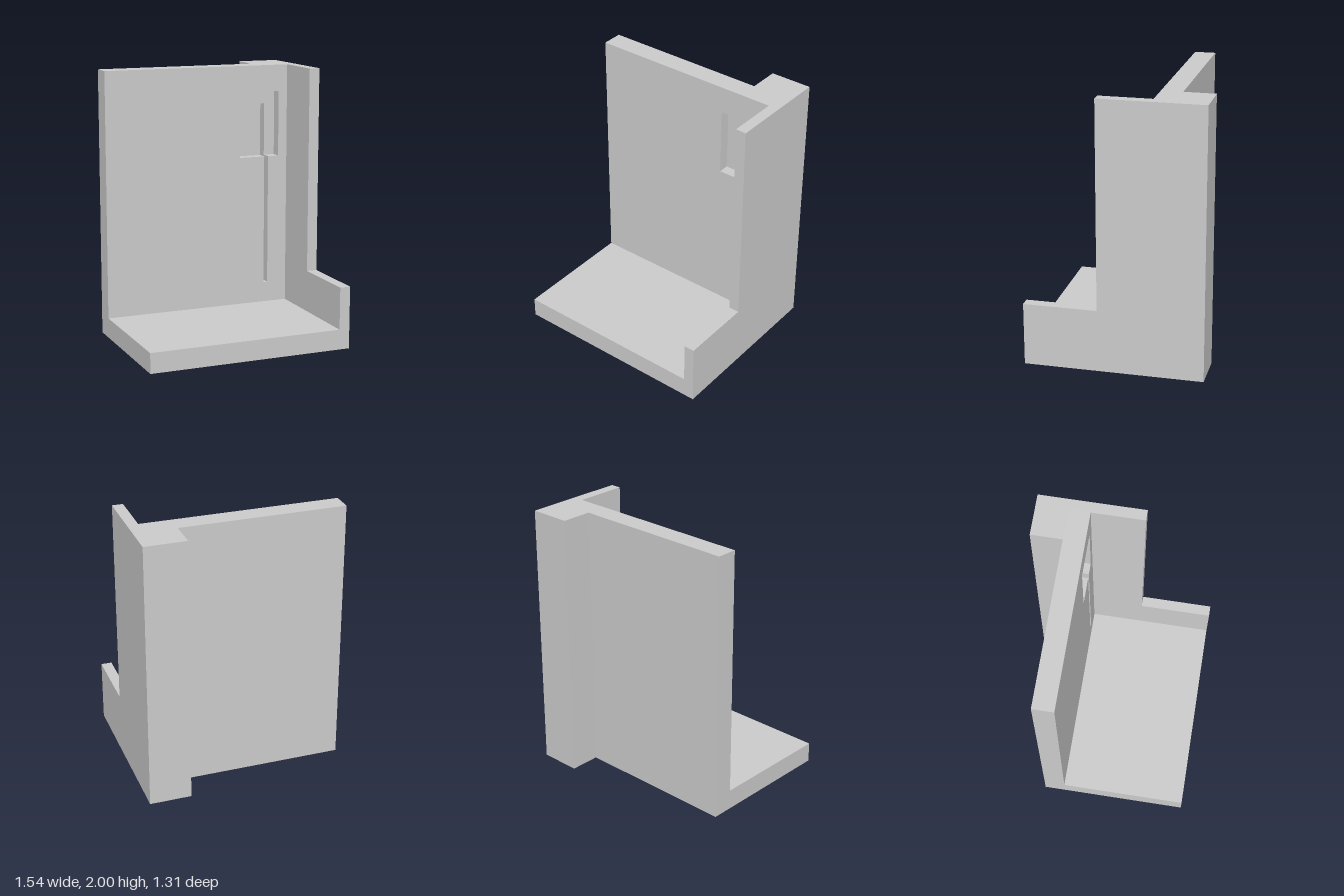
import * as THREE from 'three';

const material = new THREE.MeshStandardMaterial({ color: 0xcccccc, flatShading: true });

// Plan dimensions
const LEFT = 0.77, SIDE = 0.69, FRONT = 0.655, BACK = -0.655, TOP = 2;
const WALL_FRONT = -0.27, NICHE_BACK = -0.35, WALL_BACK = -0.425;

const points = (list) => list.map(([x, y]) => new THREE.Vector2(x, y));

function addMesh(group, name, geometry) {
  const mesh = new THREE.Mesh(geometry, material);
  mesh.name = name;
  group.add(mesh);
}

// Box given by its limits on each axis
function block(x0, x1, y0, y1, z0, z1) {
  return new THREE.BoxGeometry(x1 - x0, y1 - y0, z1 - z0)
    .translate((x0 + x1) / 2, (y0 + y1) / 2, (z0 + z1) / 2);
}

// Slab of the back wall between two depths, pierced by one opening
function wallLayer(opening, z0, z1) {
  const shape = new THREE.Shape(points([[-LEFT, 0], [SIDE, 0], [SIDE, TOP], [-LEFT, TOP]]));
  shape.holes.push(new THREE.Path(points(opening)));
  return new THREE.ExtrudeGeometry(shape, { depth: z1 - z0, bevelEnabled: false }).translate(0, 0, z0);
}

export function createModel() {
  const group = new THREE.Group();
  group.name = 'wallCorner';

  addMesh(group, 'floor', block(-LEFT, SIDE, 0, 0.15, WALL_FRONT, FRONT));

  // Back wall: shallow niche joined to a narrow, deeper vertical slot
  const s0 = 0.503, s1 = 0.535, slotBottom = 0.305, slotTop = 1.7;
  const niche = [
    [s0, slotBottom], [s0, 1.3], [0.3, 1.3], [0.3, 1.8],
    [0.62, 1.8], [0.62, 1.3], [s1, 1.3], [s1, slotBottom],
  ];
  const slot = [[s0, slotBottom], [s0, slotTop], [s1, slotTop], [s1, slotBottom]];
  addMesh(group, 'backWallFrontLayer', wallLayer(niche, NICHE_BACK, WALL_FRONT));
  addMesh(group, 'backWallRearLayer', wallLayer(slot, WALL_BACK, NICHE_BACK));

  // Column behind the wall, closing the slot
  addMesh(group, 'rearColumn', block(0.46, SIDE, 0, TOP, BACK, WALL_BACK));

  // Side wall: tall at the back, stepping down to a low curb in front
  const profile = new THREE.Shape(points([
    [BACK, 0], [FRONT, 0], [FRONT, 0.465], [0.115, 0.465], [0.115, TOP], [BACK, TOP],
  ]));
  const side = new THREE.ExtrudeGeometry(profile, { depth: LEFT - SIDE, bevelEnabled: false });
  side.rotateY(-Math.PI / 2).translate(LEFT, 0, 0);
  addMesh(group, 'sideWall', side);

  return group;
}
